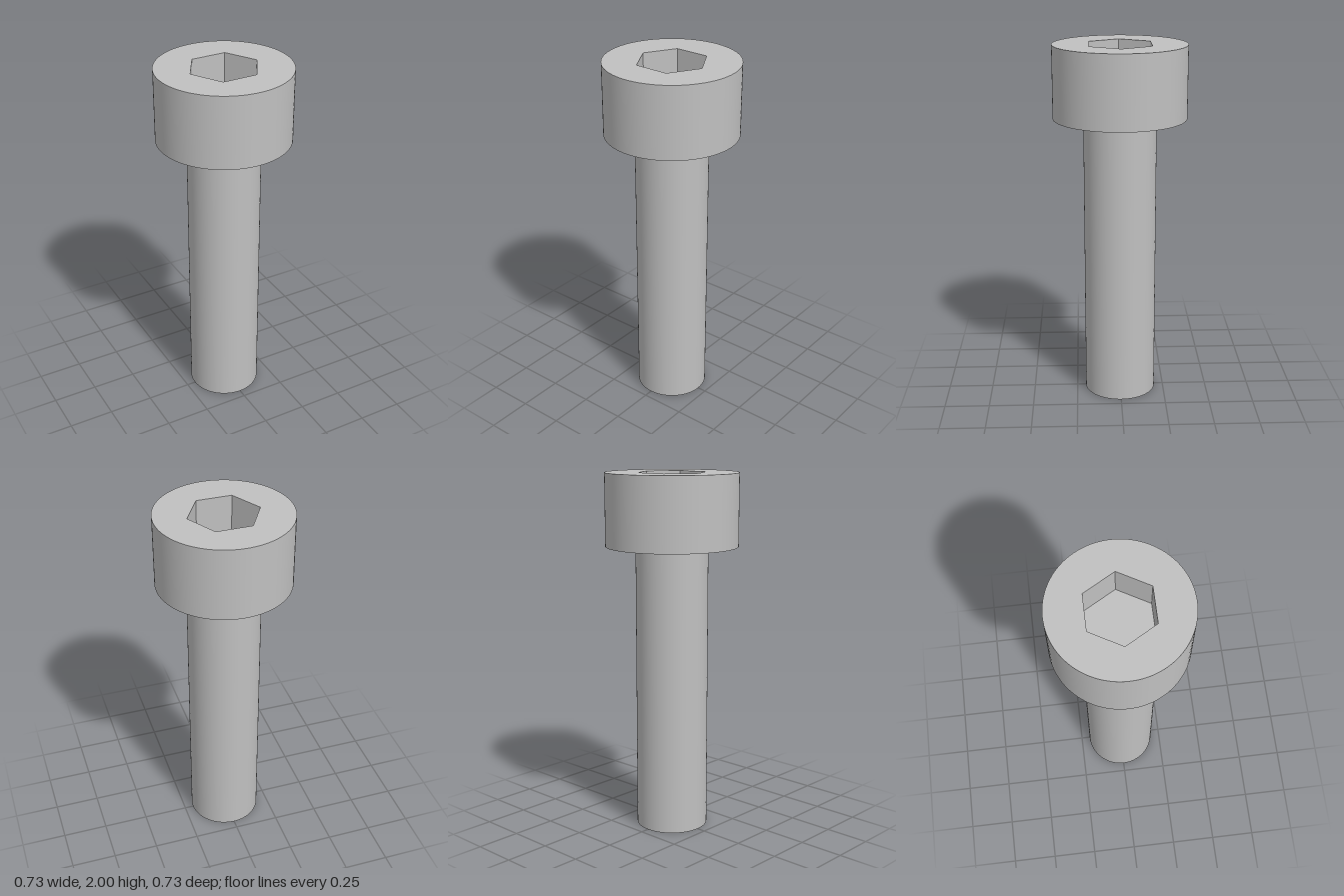
import * as THREE from 'three';

const HEAD_R = 0.366, SHANK_R = 0.2, HEX_R = 0.194;
const TOP = 2, HEAD_BASE = 1.6, SOCKET_DEPTH = 0.2, SEGMENTS = 96;

export function createModel() {
  const group = new THREE.Group();
  const steel = new THREE.MeshStandardMaterial({ color: 0xc0c0c0 });
  steel.name = 'steel grey';

  const add = (name, geometry, y) => {
    const mesh = new THREE.Mesh(geometry, steel);
    mesh.name = name;
    mesh.position.y = y;
    group.add(mesh);
  };
  // open cylinder wall standing between two heights
  const wall = (name, r, y0, y1) =>
    add(name, new THREE.CylinderGeometry(r, r, y1 - y0, SEGMENTS, 1, true), (y0 + y1) / 2);

  // Shank
  wall('shank', SHANK_R, 0, HEAD_BASE);
  add('shankEnd', new THREE.CircleGeometry(SHANK_R, SEGMENTS).rotateX(Math.PI / 2), 0);

  // Cylindrical head with its bearing face
  wall('headSide', HEAD_R, HEAD_BASE, TOP);
  add('headUnderside', new THREE.RingGeometry(SHANK_R, HEAD_R, SEGMENTS).rotateX(Math.PI / 2), HEAD_BASE);

  // Head top, pierced by the hexagonal socket
  const face = new THREE.Shape().absarc(0, 0, HEAD_R, 0, Math.PI * 2);
  const hexagon = Array.from({ length: 6 }, (_, i) =>
    new THREE.Vector2(HEX_R * Math.cos(i * Math.PI / 3), HEX_R * Math.sin(i * Math.PI / 3)));
  face.holes.push(new THREE.Path(hexagon));
  add('headTop', new THREE.ShapeGeometry(face, SEGMENTS).rotateX(-Math.PI / 2), TOP);

  // Socket walls, mirrored so that they face inward, with flat sides
  const socket = new THREE.CylinderGeometry(HEX_R, HEX_R, SOCKET_DEPTH, 6, 1, true, Math.PI / 2)
    .scale(-1, 1, 1).toNonIndexed();
  socket.computeVertexNormals();
  add('socketWalls', socket, TOP - SOCKET_DEPTH / 2);
  add('socketFloor', new THREE.CircleGeometry(HEX_R, 6).rotateX(-Math.PI / 2), TOP - SOCKET_DEPTH);

  return group;
}
